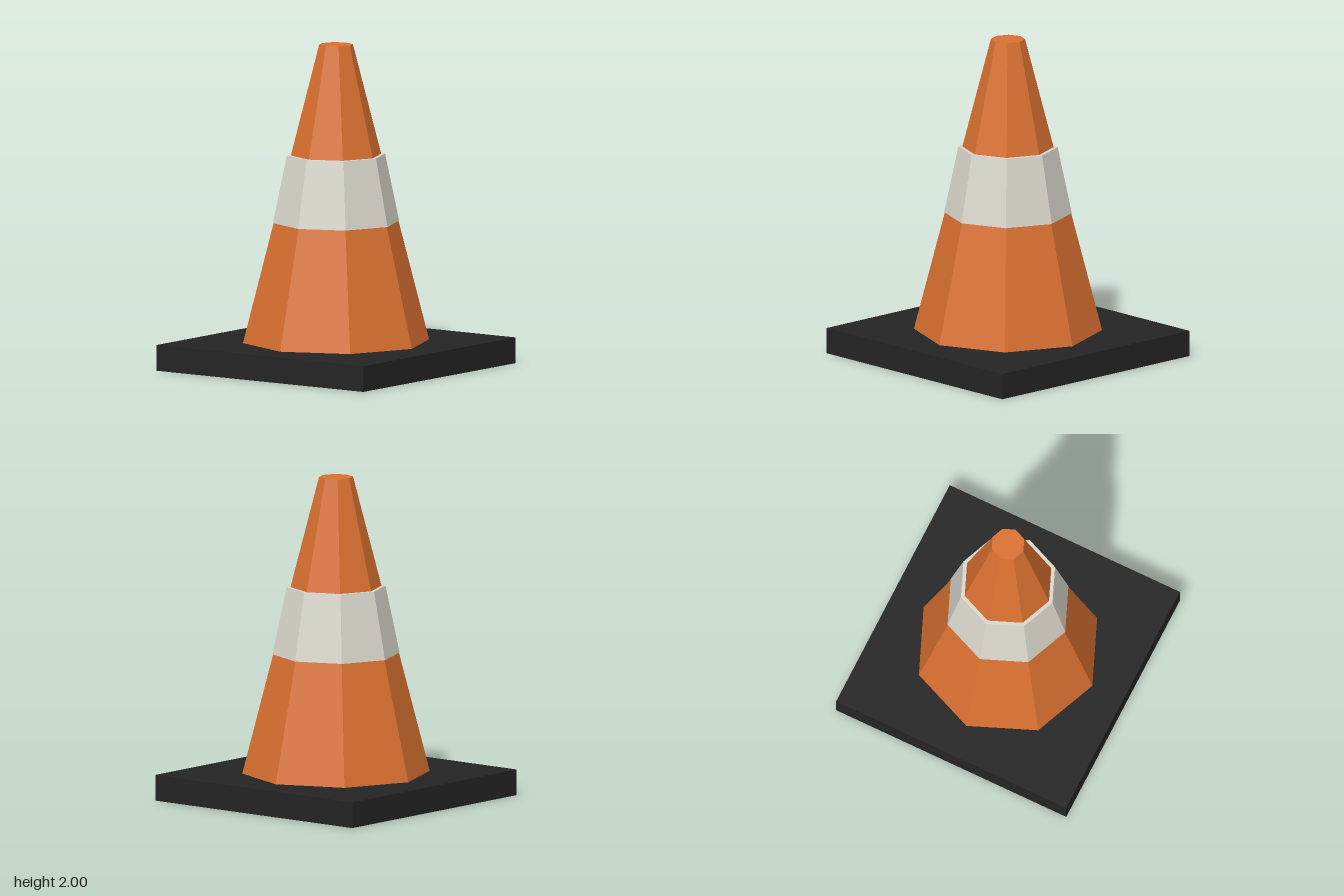
import * as THREE from 'three';

const flat = (name, color) => {
  const material = new THREE.MeshStandardMaterial({ color, flatShading: true });
  material.name = name;
  return material;
};

export function createModel() {
  const orange = flat('orange', 0xd97030);
  const white = flat('offWhite', 0xd9d6cb);
  const black = flat('black', 0x242424);

  const group = new THREE.Group();
  group.name = 'trafficCone';

  const add = (name, geometry, material, bottom, top) => {
    const mesh = new THREE.Mesh(geometry, material);
    mesh.name = name;
    mesh.position.y = (bottom + top) / 2;
    group.add(mesh);
  };
  // Eight-sided tapered section between two heights
  const taper = (name, material, bottom, top, rBottom, rTop) =>
    add(name, new THREE.CylinderGeometry(rTop, rBottom, top - bottom, 8), material, bottom, top);

  // Square foot
  add('base', new THREE.BoxGeometry(1.575, 0.16, 1.575), black, 0, 0.16);

  // Cone body and the slightly raised reflective collar
  taper('coneBody', orange, 0.16, 2, 0.578, 0.105);
  taper('reflectiveBand', white, 0.9, 1.317, 0.392, 0.305);

  return group;
}
